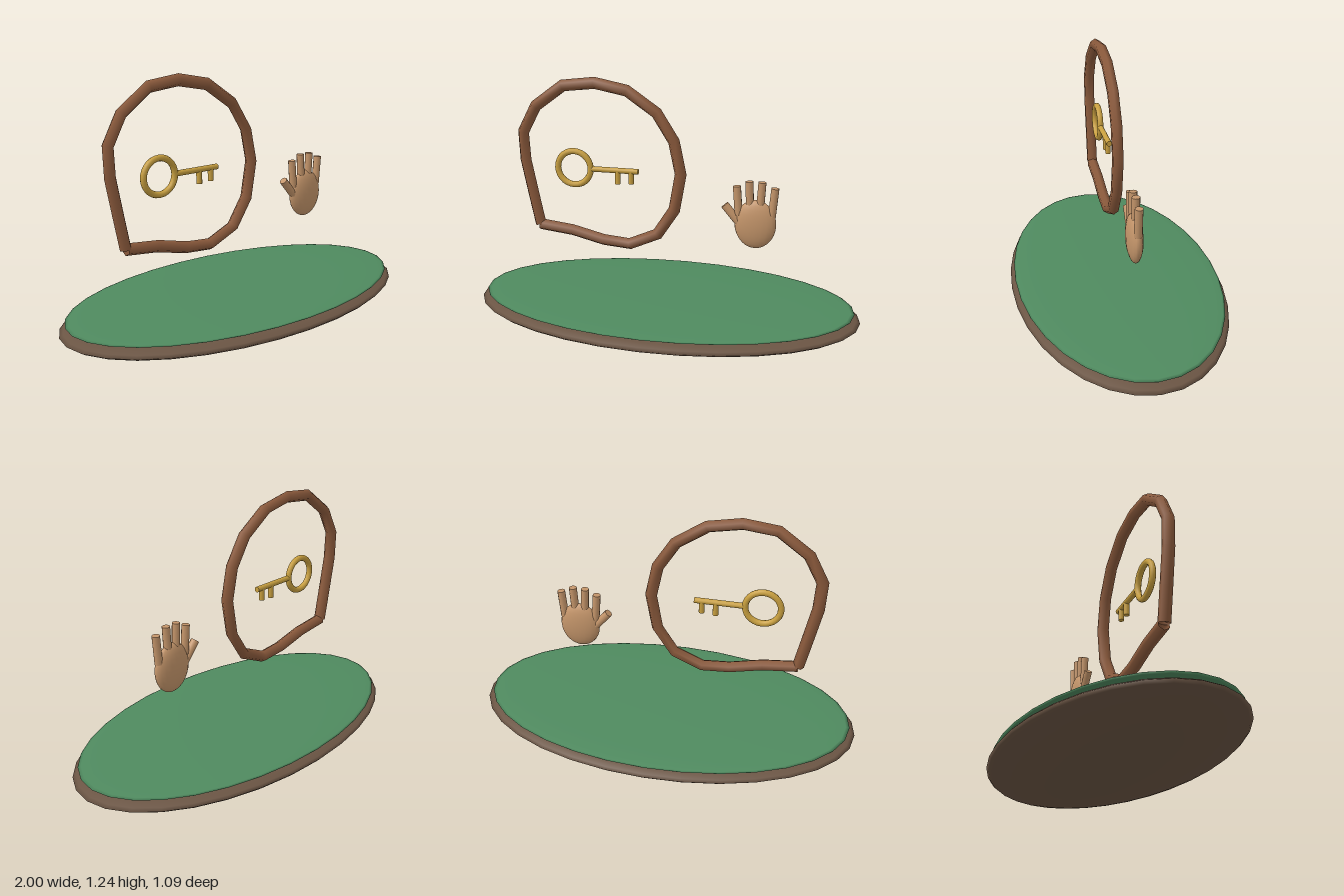
import * as THREE from 'three';

const mat = (color, extra = {}) => new THREE.MeshStandardMaterial({ color, ...extra });

function add(parent, name, geometry, material, x = 0, y = 0, z = 0) {
  const mesh = new THREE.Mesh(geometry, material);
  mesh.name = name;
  mesh.position.set(x, y, z);
  parent.add(mesh);
  return mesh;
}

// Cylinder between two points in the z = 0 plane
function rod(parent, name, [x0, y0], [x1, y1], radius, material, sides = 12) {
  const a = new THREE.Vector3(x0, y0, 0);
  const dir = new THREE.Vector3(x1, y1, 0).sub(a);
  const mesh = add(parent, name, new THREE.CylinderGeometry(radius, radius, dir.length(), sides), material);
  mesh.position.copy(a).addScaledVector(dir, 0.5);
  mesh.quaternion.setFromUnitVectors(new THREE.Vector3(0, 1, 0), dir.normalize());
  return mesh;
}

function group(parent, name) {
  const g = new THREE.Group();
  g.name = name;
  parent.add(g);
  return g;
}

export function createModel() {
  const model = new THREE.Group();
  model.name = 'model';
  const wood = mat(0x8b5a3c, { side: THREE.DoubleSide });
  const gold = mat(0xc9a040);
  const skin = mat(0xc4956a);

  // Flattened oval base with a green top
  const base = group(model, 'base');
  const disc = new THREE.SphereGeometry(1, 32, 16);
  add(base, 'baseRim', disc, mat(0x6b5544), 0, 0.06).scale.set(1, 0.06, 0.545);
  add(base, 'greenTop', disc, mat(0x4f8a5f), 0, 0.105).scale.set(0.97, 0.018, 0.525);

  // Speech-bubble outline: six-sided tube starting and ending at the tail
  const outline = [
    [-0.675, 0.455], [-0.708, 0.62], [-0.743, 0.80], [-0.749, 0.946], [-0.676, 1.083],
    [-0.527, 1.192], [-0.361, 1.211], [-0.195, 1.179], [-0.043, 1.075], [0.045, 0.936],
    [0.080, 0.770], [0.048, 0.583], [-0.04, 0.447], [-0.187, 0.382], [-0.329, 0.393],
    [-0.497, 0.433], [-0.673, 0.452],
  ].map(([x, y]) => new THREE.Vector3(x, y, 0));
  const curve = new THREE.CatmullRomCurve3(outline);
  // Rings sit exactly on the outline points, with an edge facing outward
  curve.getPointAt = curve.getPoint;
  curve.getTangentAt = curve.getTangent;
  const frames = curve.computeFrenetFrames(outline.length - 1, false);
  curve.computeFrenetFrames = () => ({
    tangents: frames.tangents,
    normals: frames.binormals,
    binormals: frames.normals.map((n) => n.clone().negate()),
  });
  add(model, 'bubbleFrame', new THREE.TubeGeometry(curve, outline.length - 1, 0.03, 6, false), wood);

  // Key: ring, shaft and two teeth
  const key = group(model, 'key');
  add(key, 'keyRing', new THREE.TorusGeometry(0.088, 0.016, 10, 28), gold, -0.479, 0.77);
  rod(key, 'keyShaft', [-0.39, 0.77], [-0.139, 0.77], 0.0145, gold);
  rod(key, 'keyTooth', [-0.247, 0.77], [-0.247, 0.70], 0.0145, gold);
  rod(key, 'keyTooth', [-0.177, 0.77], [-0.177, 0.705], 0.0145, gold);

  // Open hand: oval palm, four fingers and a thumb
  const hand = group(model, 'hand');
  add(hand, 'palm', new THREE.SphereGeometry(1, 20, 14), skin, 0.46, 0.54).scale.set(0.104, 0.125, 0.038);
  [
    [[0.376, 0.585], [0.364, 0.73]],
    [[0.433, 0.60], [0.425, 0.757]],
    [[0.481, 0.60], [0.489, 0.757]],
    [[0.541, 0.585], [0.553, 0.73]],
  ].forEach(([from, to]) => rod(hand, 'finger', from, to, 0.02, skin, 10));
  rod(hand, 'thumb', [0.39, 0.53], [0.305, 0.63], 0.021, skin, 10);

  return model;
}
